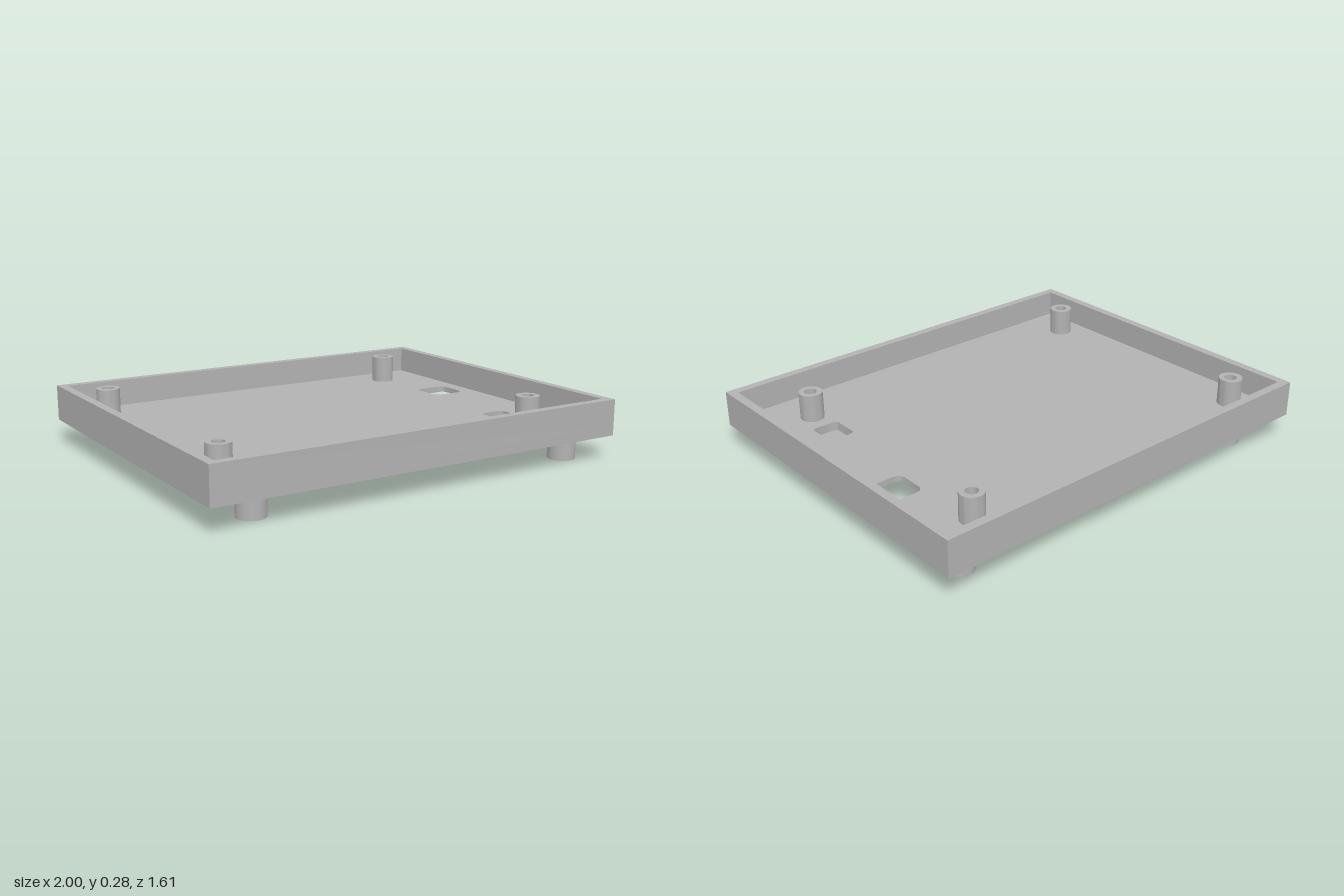
import * as THREE from 'three';
import { toCreasedNormals } from 'three/addons/utils/BufferGeometryUtils.js';

// Heights
const BASE = 0.11, RECESS_TOP = 0.125, FLOOR = 0.152, RIM = 0.275, POST_TOP = 0.28;

// Rectangle seen in plan, optionally with rounded corners
function rect(x0, x1, z0, z1, r = 0) {
  const s = new THREE.Shape();
  const a = -z1, b = -z0; // shape y becomes -z once laid flat
  if (r === 0) {
    s.moveTo(x0, a).lineTo(x1, a).lineTo(x1, b).lineTo(x0, b).closePath();
    return s;
  }
  s.moveTo(x0 + r, a);
  s.lineTo(x1 - r, a).absarc(x1 - r, a + r, r, -Math.PI / 2, 0, false);
  s.lineTo(x1, b - r).absarc(x1 - r, b - r, r, 0, Math.PI / 2, false);
  s.lineTo(x0 + r, b).absarc(x0 + r, b - r, r, Math.PI / 2, Math.PI, false);
  s.lineTo(x0, a + r).absarc(x0 + r, a + r, r, Math.PI, Math.PI * 1.5, false);
  return s;
}

// Flat slab between two heights, with cut-outs
function slab(outline, holes, y0, y1) {
  outline.holes = holes;
  const g = new THREE.ExtrudeGeometry(outline, { depth: y1 - y0, bevelEnabled: false, curveSegments: 8 });
  g.rotateX(-Math.PI / 2).translate(0, y0, 0);
  return toCreasedNormals(g, 0.6);
}

export function createModel() {
  const group = new THREE.Group();
  const grey = new THREE.MeshStandardMaterial({ color: 0xb2b2b2 });
  grey.name = 'grey plastic';

  const add = (name, geometry) => {
    const mesh = new THREE.Mesh(geometry, grey);
    mesh.name = name;
    group.add(mesh);
    return mesh;
  };

  const outer = () => rect(-1, 1, -0.805, 0.805);
  const pocket = () => rect(0.657, 0.783, 0.299, 0.445, 0.022);
  const opening = () => rect(0.726, 0.892, -0.298, -0.134, 0.035);

  // Tray: side walls, floor, and lower floor layer with a shallow underside recess
  add('walls', slab(outer(), [rect(-0.96, 0.96, -0.765, 0.765)], FLOOR, RIM));
  add('floor', slab(outer(), [opening(), pocket()], RECESS_TOP, FLOOR));
  add('undersideLayer', slab(outer(), [rect(0.505, 0.95, -0.345, 0.185), pocket()], BASE, RECESS_TOP));

  // Block hanging below the pocket and closing it
  add('pocketBlock', slab(pocket(), [], 0.035, BASE));

  // Hollow mounting posts
  const h = POST_TOP - FLOOR;
  const profile = [[0.054, 0], [0.054, h], [0.028, h], [0.028, 0]].map(([r, y]) => new THREE.Vector2(r, y));
  const postGeometry = toCreasedNormals(new THREE.LatheGeometry(profile, 40), 0.6);
  for (const [x, z] of [[-0.828, -0.597], [0.72, -0.6], [-0.834, 0.549], [0.714, 0.551]]) {
    add('mountingPost', postGeometry).position.set(x, FLOOR, z);
  }

  // Round feet
  const footGeometry = new THREE.CylinderGeometry(0.0625, 0.0625, BASE, 40);
  for (const x of [-0.757, 0.828]) {
    for (const z of [-0.651, 0.661]) {
      add('foot', footGeometry).position.set(x, BASE / 2, z);
    }
  }

  return group;
}
